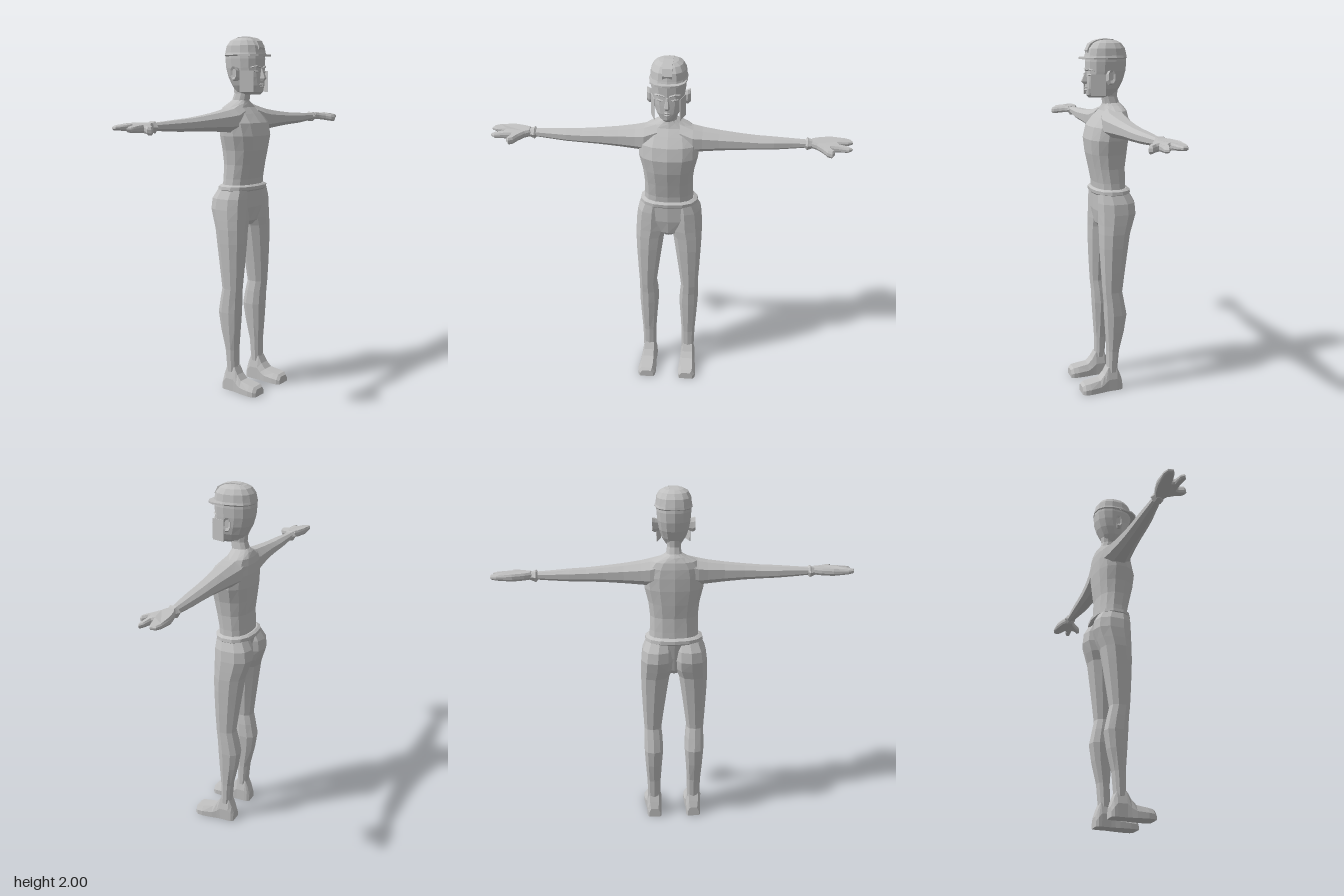
import * as THREE from 'three';

const grey = new THREE.MeshStandardMaterial({ color: 0xc0c0c0, flatShading: true, side: THREE.DoubleSide });
grey.name = 'plain grey';

// Joins rings of points into a closed, outward-facing skin.
function skin(rings) {
  const n = rings[0].length, pos = [], idx = [];
  rings.forEach(r => r.forEach(p => pos.push(...p)));
  for (let i = 0; i < rings.length - 1; i++) for (let j = 0; j < n; j++) {
    const a = i * n + j, b = i * n + (j + 1) % n;
    idx.push(a, b, a + n, b, b + n, a + n);
  }
  const last = (rings.length - 1) * n;
  for (let j = 1; j < n - 1; j++) idx.push(0, j + 1, j, last, last + j, last + j + 1);
  // Signed volume tells whether the winding has to be reversed
  let vol = 0;
  const v = i => new THREE.Vector3().fromArray(pos, i * 3);
  for (let i = 0; i < idx.length; i += 3) vol += v(idx[i]).dot(v(idx[i + 1]).cross(v(idx[i + 2])));
  if (vol < 0) idx.reverse();
  const g = new THREE.BufferGeometry();
  g.setAttribute('position', new THREE.Float32BufferAttribute(pos, 3));
  g.setIndex(idx);
  g.computeVertexNormals();
  return g;
}

// Squared-off ellipse, as pairs between the given limits.
function oval(n, a0, a1, b0, b1, power = 0.85) {
  const soft = t => Math.sign(t) * Math.abs(t) ** power;
  return Array.from({ length: n }, (_, j) => {
    const t = (j + 0.5) / n * Math.PI * 2;
    return [(a0 + a1) / 2 + (a1 - a0) / 2 * soft(Math.cos(t)), (b0 + b1) / 2 + (b1 - b0) / 2 * soft(Math.sin(t))];
  });
}
// Rows: [y, xMin, xMax, zMin, zMax]
const upright = (rows, n = 12, power) => skin(rows.map(([y, ...r]) => oval(n, ...r, power).map(([x, z]) => [x, y, z])));
// Rows: [x, yMin, yMax, zMin, zMax]
const sideways = (rows, n = 8, power) => skin(rows.map(([x, ...r]) => oval(n, ...r, power).map(([y, z]) => [x, y, z])));

function mirrored(geo) {
  const g = geo.index ? geo.toNonIndexed() : geo.clone();
  const p = g.attributes.position, a = new THREE.Vector3(), b = new THREE.Vector3();
  for (let i = 0; i < p.count; i += 3) {
    a.fromBufferAttribute(p, i + 1);
    b.fromBufferAttribute(p, i + 2);
    p.setX(i, -p.getX(i));
    p.setXYZ(i + 1, -b.x, b.y, b.z);
    p.setXYZ(i + 2, -a.x, a.y, a.z);
  }
  g.computeVertexNormals();
  return g;
}

export function createModel() {
  const model = new THREE.Group();
  const add = (name, geo) => {
    const mesh = new THREE.Mesh(geo, grey);
    mesh.name = name;
    model.add(mesh);
  };
  const pair = (name, geo) => {
    add('left' + name, geo);
    add('right' + name, mirrored(geo));
  };
  const even = (y, w, z0, z1) => [y, -w, w, z0, z1];

  // Trunk
  add('torso', upright([
    even(1.16, 0.14, -0.125, 0.05), even(1.22, 0.135, -0.122, 0.055), even(1.3, 0.134, -0.12, 0.072),
    even(1.38, 0.143, -0.13, 0.09), even(1.46, 0.163, -0.137, 0.098), even(1.53, 0.165, -0.138, 0.08),
    even(1.58, 0.15, -0.135, 0.04), even(1.615, 0.12, -0.128, 0.01), even(1.64, 0.065, -0.115, 0.0),
    even(1.655, 0.04, -0.1, -0.005)], 14));
  add('neck', upright([
    even(1.6, 0.06, -0.115, 0.005), even(1.65, 0.043, -0.1, -0.003), even(1.69, 0.037, -0.087, 0.005),
    even(1.75, 0.042, -0.092, 0.01)], 10));
  add('waistband', upright([
    even(1.152, 0.15, -0.14, 0.06), even(1.16, 0.163, -0.148, 0.068), even(1.178, 0.16, -0.147, 0.07),
    even(1.187, 0.14, -0.132, 0.057)], 14));
  add('pelvis', upright([
    even(0.955, 0.03, -0.07, 0.02), even(0.98, 0.08, -0.09, 0.04), even(1.06, 0.14, -0.11, 0.054),
    even(1.16, 0.152, -0.13, 0.056)], 14));

  // Legs with buttocks
  pair('Leg', upright([
    [1.16, 0.012, 0.155, -0.132, 0.05], [1.11, 0.004, 0.178, -0.16, 0.054], [1.05, 0.002, 0.186, -0.165, 0.054],
    [0.99, 0.006, 0.189, -0.145, 0.053], [0.94, 0.024, 0.19, -0.127, 0.052], [0.86, 0.036, 0.188, -0.115, 0.051],
    [0.72, 0.056, 0.181, -0.095, 0.044], [0.6, 0.072, 0.174, -0.079, 0.036], [0.54, 0.065, 0.175, -0.092, 0.03],
    [0.46, 0.062, 0.175, -0.108, 0.027], [0.36, 0.07, 0.169, -0.092, 0.02], [0.24, 0.078, 0.16, -0.062, 0.01],
    [0.11, 0.08, 0.157, -0.05, 0.01]], 10));

  // Feet: low slab sections running from heel to toe
  const footRing = ([z, x, w, h]) => [[-1, 0], [1, 0], [1, 0.5], [0.65, 1], [-0.65, 1], [-1, 0.5]]
    .map(([s, t]) => [x + s * w, t * h, z]);
  pair('Foot', skin([
    [-0.076, 0.118, 0.034, 0.055], [-0.062, 0.118, 0.042, 0.095], [-0.044, 0.118, 0.043, 0.14],
    [0.008, 0.119, 0.043, 0.14], [0.03, 0.12, 0.045, 0.1], [0.058, 0.121, 0.049, 0.07],
    [0.12, 0.123, 0.054, 0.06], [0.15, 0.123, 0.051, 0.055], [0.166, 0.121, 0.04, 0.043]].map(footRing)));

  // Arms and cuffs
  pair('Arm', sideways([
    [0.06, 1.5, 1.635, -0.12, 0.03], [0.13, 1.475, 1.615, -0.118, 0.045], [0.18, 1.48, 1.605, -0.108, 0.035],
    [0.27, 1.488, 1.592, -0.095, 0.024], [0.38, 1.496, 1.58, -0.085, 0.015], [0.47, 1.5, 1.572, -0.081, 0.01],
    [0.56, 1.503, 1.568, -0.078, 0.003], [0.66, 1.51, 1.562, -0.072, -0.012], [0.75, 1.518, 1.557, -0.066, -0.023],
    [0.79, 1.522, 1.555, -0.066, -0.023]], 8));
  pair('Cuff', sideways([
    [0.728, 1.513, 1.561, -0.07, -0.018], [0.738, 1.502, 1.57, -0.083, -0.008],
    [0.746, 1.506, 1.565, -0.078, -0.012], [0.77, 1.515, 1.558, -0.068, -0.022]], 6, 1));

  // Hands: joined fingers, forefinger and thumb, tapering toward the tips
  const outline = [[0.765, -0.064], [0.8, -0.08], [0.86, -0.094], [0.94, -0.093], [0.968, -0.083], [0.973, -0.062],
    [0.95, -0.05], [0.89, -0.034], [0.9, -0.016], [0.95, -0.006], [0.964, 0.004], [0.95, 0.012], [0.9, 0.006],
    [0.855, 0.004], [0.855, 0.022], [0.87, 0.045], [0.862, 0.054], [0.842, 0.045], [0.822, 0.018], [0.79, -0.012],
    [0.765, -0.024]];
  const hand = new THREE.ExtrudeGeometry(new THREE.Shape(outline.map(([x, z]) => new THREE.Vector2(x, -z))),
    { depth: 0.014, bevelSize: 0.006, bevelThickness: 0.01, bevelSegments: 1 });
  hand.rotateX(-Math.PI / 2);
  const hp = hand.attributes.position;
  for (let i = 0; i < hp.count; i++) {
    const x = hp.getX(i), z = hp.getZ(i);
    const thick = x > 0.87 ? 1.15 - (x - 0.87) * 5.5 : 1.15;
    hp.setY(i, 1.541 + (hp.getY(i) - 0.007) * thick - Math.max(0, z + 0.03) * 0.2);
  }
  hand.computeVertexNormals();
  pair('Hand', hand);

  // Head
  add('head', upright([
    even(1.685, 0.026, -0.03, 0.075), even(1.7, 0.046, -0.075, 0.09), even(1.735, 0.067, -0.094, 0.094),
    even(1.78, 0.081, -0.116, 0.093), even(1.83, 0.089, -0.13, 0.091), even(1.88, 0.093, -0.134, 0.092),
    even(1.92, 0.091, -0.13, 0.085)], 14));
  add('nose', skin([
    [[-0.007, 1.825, 0.08], [0.007, 1.825, 0.08], [0.004, 1.825, 0.095], [-0.004, 1.825, 0.095]],
    [[-0.018, 1.772, 0.08], [0.018, 1.772, 0.08], [0.008, 1.774, 0.117], [-0.008, 1.774, 0.117]],
    [[-0.014, 1.758, 0.08], [0.014, 1.758, 0.08], [0.006, 1.76, 0.105], [-0.006, 1.76, 0.105]]]));
  for (const [name, y, w] of [['upperLip', 1.741, 0.027], ['lowerLip', 1.728, 0.022]])
    add(name, sideways([[-w, y - 0.001, y + 0.001, 0.078, 0.085], [0, y - 0.006, y + 0.006, 0.082, 0.104],
      [w, y - 0.001, y + 0.001, 0.078, 0.085]], 6));
  pair('Brow', sideways([[0.012, 1.828, 1.836, 0.075, 0.097], [0.04, 1.834, 1.844, 0.07, 0.092],
    [0.066, 1.83, 1.836, 0.045, 0.072]], 6));
  pair('Eye', sideways([[0.02, 1.808, 1.811, 0.075, 0.091], [0.037, 1.803, 1.816, 0.073, 0.092],
    [0.056, 1.81, 1.813, 0.058, 0.079]], 6));
  pair('Ear', sideways([[0.075, 1.765, 1.825, -0.025, 0.005], [0.1, 1.755, 1.835, -0.034, 0.008],
    [0.114, 1.765, 1.838, -0.04, 0.0], [0.108, 1.78, 1.825, -0.03, -0.006]], 8));

  // Slanted flat cheek plates
  const plate = new THREE.BoxGeometry(0.004, 0.115, 0.08);
  plate.rotateY(-0.3);
  plate.translate(0.078, 1.757, 0.045);
  pair('CheekPlate', plate);

  // Cap with a crest strip and a short peak
  add('cap', upright([
    even(1.893, 0.094, -0.13, 0.088), even(1.9, 0.101, -0.136, 0.098), even(1.912, 0.096, -0.134, 0.094),
    even(1.95, 0.092, -0.125, 0.085), even(1.977, 0.076, -0.104, 0.062), even(1.99, 0.052, -0.078, 0.036),
    even(1.995, 0.025, -0.05, 0.01)], 14));
  const strip = [[0.092, 1.94], [0.075, 1.974], [0.045, 1.991], [0, 2], [-0.05, 1.998], [-0.075, 1.988]];
  add('capCrest', skin(strip.map(([z, y]) => [[-0.025, y, z], [0.025, y, z], [0.025, y - 0.018, z - 0.006],
    [-0.025, y - 0.018, z - 0.006]])));
  const peak = [[-0.1, 0.0], [-0.09, 0.075], [-0.06, 0.112], [-0.02, 0.126], [0.02, 0.126], [0.06, 0.112],
    [0.09, 0.075], [0.1, 0.0]];
  add('capPeak', skin([1.893, 1.902].map(y => peak.map(([x, z]) => [x, y, z]))));

  return model;
}
